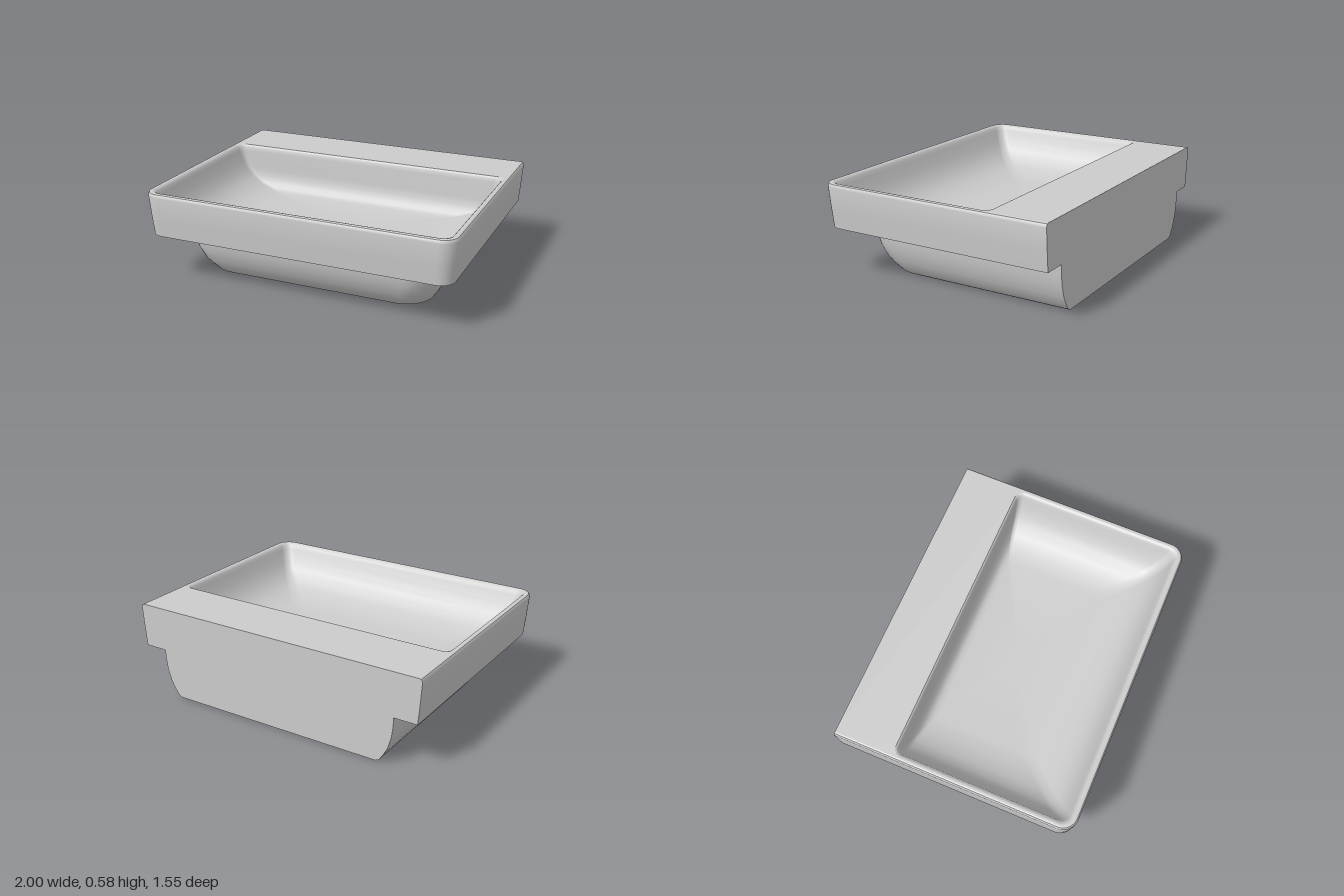
import * as THREE from 'three';
import { toCreasedNormals } from 'three/addons/utils/BufferGeometryUtils.js';

const BACK = -0.775;
const ARC = 8; // segments per rounded corner

// Rounded rectangle at height y: half width x, front zf, back zb, corner radii front/back
function ring([y, x, zf, zb, rf, rb]) {
  const pts = [];
  const corners = [
    [x - rf, zf - rf, rf], [rf - x, zf - rf, rf],
    [rb - x, zb + rb, rb], [x - rb, zb + rb, rb],
  ];
  corners.forEach(([cx, cz, r], q) => {
    for (let i = 0; i <= ARC; i++) {
      const a = (q + i / ARC) * Math.PI / 2;
      pts.push(new THREE.Vector3(cx + r * Math.cos(a), y, cz + r * Math.sin(a)));
    }
  });
  return pts;
}

// Skin a stack of rings, optionally closing the first or last one
function loft(sections, { capStart = false, capEnd = false } = {}) {
  const rings = sections.map(ring);
  const pos = [];
  const e1 = new THREE.Vector3(), e2 = new THREE.Vector3();
  const tri = (a, b, c) => {
    if (e1.subVectors(b, a).cross(e2.subVectors(c, a)).length() < 1e-9) return;
    for (const p of [a, b, c]) pos.push(p.x, p.y, p.z);
  };
  const n = rings[0].length;
  for (let s = 0; s + 1 < rings.length; s++) {
    const lo = rings[s], hi = rings[s + 1];
    for (let k = 0; k < n; k++) {
      const m = (k + 1) % n;
      tri(lo[k], hi[k], hi[m]);
      tri(lo[k], hi[m], lo[m]);
    }
  }
  const cap = (r, flip) => {
    const c = r.reduce((v, p) => v.add(p), new THREE.Vector3()).divideScalar(n);
    for (let k = 0; k < n; k++) {
      const m = (k + 1) % n;
      if (flip) tri(c, r[m], r[k]); else tri(c, r[k], r[m]);
    }
  };
  if (capStart) cap(rings[0], false);
  if (capEnd) cap(rings[rings.length - 1], true);
  const g = new THREE.BufferGeometry();
  g.setAttribute('position', new THREE.Float32BufferAttribute(pos, 3));
  return toCreasedNormals(g, 0.65);
}

export function createModel() {
  const group = new THREE.Group();
  const ceramic = new THREE.MeshStandardMaterial({ color: 0xcccccc });
  ceramic.name = 'ceramic grey';
  const add = (name, geometry) => {
    const mesh = new THREE.Mesh(geometry, ceramic);
    mesh.name = name;
    group.add(mesh);
  };

  // Narrower rounded body below, cut flat at the back
  add('lowerBody', loft([
    [0.000, 0.72, 0.46, BACK, 0.17, 0],
    [0.012, 0.742, 0.487, BACK, 0.18, 0],
    [0.055, 0.772, 0.522, BACK, 0.19, 0],
    [0.10, 0.796, 0.551, BACK, 0.19, 0],
    [0.175, 0.819, 0.583, BACK, 0.19, 0],
    [0.24, 0.828, 0.595, BACK, 0.19, 0],
    [0.305, 0.832, 0.60, BACK, 0.19, 0],
  ], { capStart: true }));

  // Flat ledge under the overhanging rim
  add('underside', loft([
    [0.305, 0.832, 0.60, BACK, 0.19, 0],
    [0.305, 0.98, 0.755, BACK, 0.09, 0],
  ]));

  // Slightly flared outer wall with a soft top edge
  add('outerWall', loft([
    [0.305, 0.98, 0.755, BACK, 0.09, 0],
    [0.42, 0.99, 0.765, BACK, 0.095, 0],
    [0.562, 1.0, 0.775, BACK, 0.10, 0],
    [0.573, 0.998, 0.773, BACK, 0.098, 0],
    [0.582, 0.992, 0.767, BACK, 0.092, 0],
    [0.585, 0.983, 0.758, BACK, 0.083, 0],
  ]));

  // Flat rim and the wide shelf behind the bowl
  add('deck', loft([
    [0.585, 0.983, 0.758, BACK, 0.083, 0],
    [0.585, 0.972, 0.747, -0.398, 0.072, 0.055],
  ]));

  // Bowl: sloping sides and front, steep back, flat floor
  add('bowl', loft([
    [0.585, 0.972, 0.747, -0.398, 0.072, 0.055],
    [0.581, 0.961, 0.736, -0.391, 0.066, 0.05],
    [0.570, 0.952, 0.727, -0.386, 0.062, 0.045],
    [0.545, 0.943, 0.716, -0.383, 0.06, 0.04],
    [0.48, 0.918, 0.688, -0.38, 0.06, 0.035],
    [0.42, 0.885, 0.652, -0.377, 0.06, 0.03],
    [0.37, 0.842, 0.606, -0.373, 0.06, 0.03],
    [0.33, 0.782, 0.542, -0.362, 0.06, 0.025],
    [0.302, 0.705, 0.46, -0.345, 0.06, 0.02],
    [0.288, 0.64, 0.39, -0.325, 0.06, 0.02],
    [0.282, 0.59, 0.34, -0.30, 0.06, 0.02],
  ], { capEnd: true }));

  return group;
}
